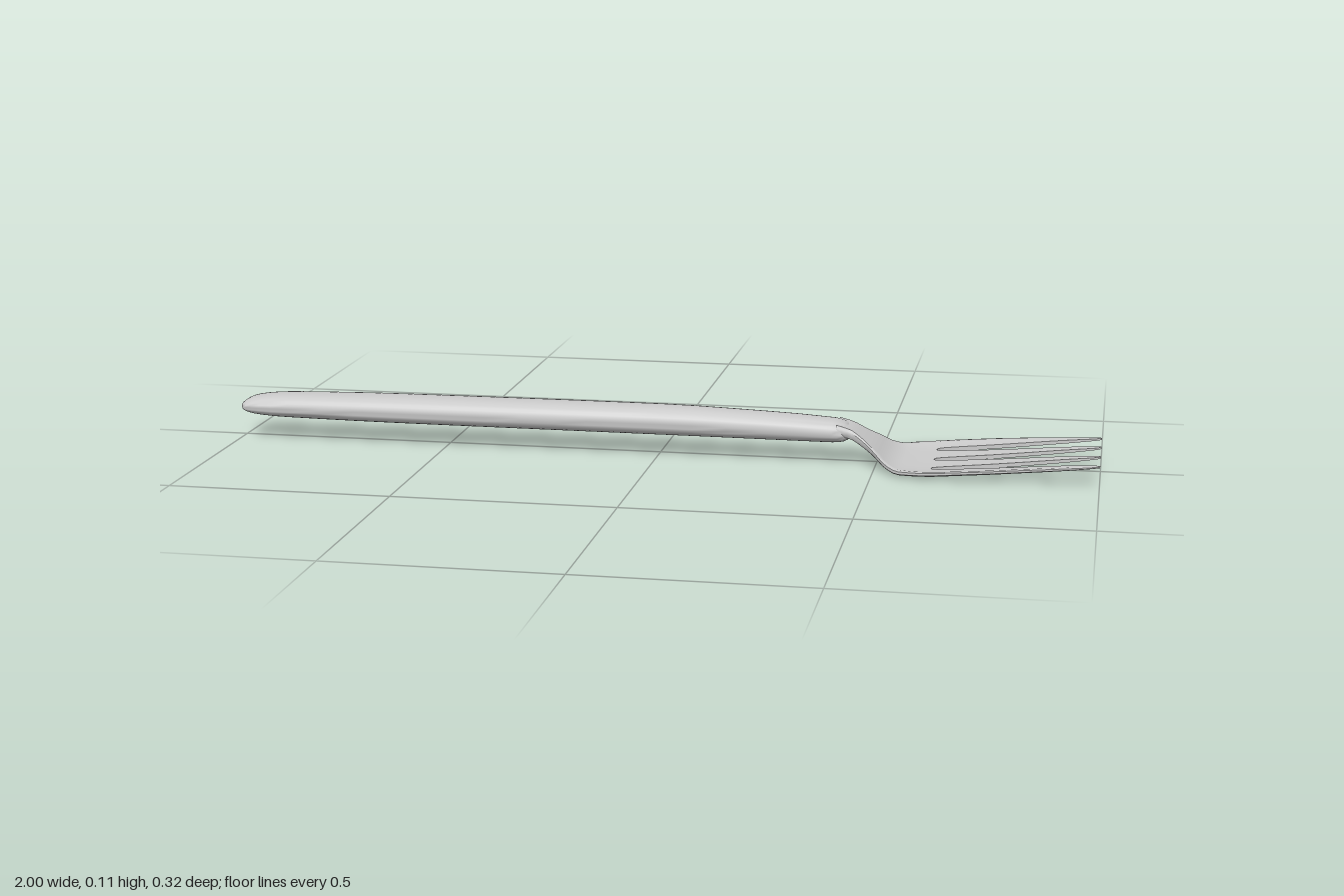
import * as THREE from 'three';
import { mergeGeometries, toCreasedNormals } from 'three/addons/utils/BufferGeometryUtils.js';

// Smooth lookup through [x, value] pairs (cubic Hermite with limited slopes)
function curve(pts) {
  const d = pts.slice(1).map((p, i) => (p[1] - pts[i][1]) / (p[0] - pts[i][0]));
  const m = pts.map((_, i) => {
    if (i === 0) return d[0];
    if (i === d.length) return d[i - 1];
    return d[i - 1] * d[i] <= 0 ? 0 : (2 * d[i - 1] * d[i]) / (d[i - 1] + d[i]);
  });
  return (x) => {
    let i = 0;
    while (i < pts.length - 2 && x > pts[i + 1][0]) i++;
    const h = pts[i + 1][0] - pts[i][0];
    const t = Math.min(1, Math.max(0, (x - pts[i][0]) / h));
    const a = 1 - t;
    return (1 + 2 * t) * a * a * pts[i][1] + t * a * a * h * m[i]
      + t * t * (3 - 2 * t) * pts[i + 1][1] - t * t * a * h * m[i + 1];
  };
}

// Skin closed rings (running y -> z around +x), with a fan cap at both ends
function loft(rings) {
  const n = rings[0].length, pos = rings.flat(2), idx = [];
  for (let r = 0; r < rings.length - 1; r++) {
    for (let k = 0; k < n; k++) {
      const a = r * n + k, b = r * n + (k + 1) % n;
      idx.push(a, b, a + n, b, b + n, a + n);
    }
  }
  for (const r of [0, rings.length - 1]) {
    const c = pos.length / 3;
    for (let j = 0; j < 3; j++) pos.push(rings[r].reduce((s, p) => s + p[j], 0) / n);
    for (let k = 0; k < n; k++) {
      const a = r * n + k, b = r * n + (k + 1) % n;
      if (r === 0) idx.push(c, b, a); else idx.push(c, a, b);
    }
  }
  const g = new THREE.BufferGeometry();
  g.setAttribute('position', new THREE.Float32BufferAttribute(pos, 3));
  g.setIndex(idx);
  return g;
}

// Handle: softly flattened oval section, blunt rounded ends
function handleGeometry() {
  const half = curve([[-1, 0.03], [-0.993, 0.043], [-0.97, 0.052], [-0.9, 0.058], [-0.6, 0.062],
    [-0.2, 0.06], [0.2, 0.053], [0.4, 0.05], [0.425, 0.046], [0.44, 0.036]]);
  const top = curve([[-1, 0.083], [-0.99, 0.09], [-0.96, 0.098], [-0.9, 0.104], [-0.6, 0.11],
    [0, 0.112], [0.2, 0.107], [0.4, 0.097], [0.425, 0.091], [0.44, 0.082]]);
  const bottom = curve([[-1, 0.068], [-0.99, 0.061], [-0.96, 0.055], [-0.9, 0.051], [-0.6, 0.048],
    [0, 0.047], [0.4, 0.046], [0.425, 0.049], [0.44, 0.057]]);
  const xs = [-1, -0.997, -0.993, -0.985, -0.97, -0.95, -0.92];
  for (let x = -0.88; x < 0.39; x += 0.08) xs.push(x);
  xs.push(0.4, 0.412, 0.425, 0.433, 0.44);
  const soft = (v) => Math.sign(v) * Math.abs(v) ** 0.8;
  return loft(xs.map((x) => {
    const mid = (top(x) + bottom(x)) / 2, h = (top(x) - bottom(x)) / 2;
    return Array.from({ length: 32 }, (_, k) => {
      const a = (k / 32) * Math.PI * 2;
      return [x, mid + h * soft(Math.cos(a)), half(x) * soft(Math.sin(a))];
    });
  }));
}

// Head: four lanes that meet in the neck and palm and part into tines
function headGeometry() {
  const half = curve([[0.41, 0.046], [0.44, 0.046], [0.47, 0.057], [0.5, 0.085], [0.53, 0.117],
    [0.56, 0.14], [0.6, 0.153], [0.66, 0.159], [0.75, 0.16], [0.85, 0.155], [0.95, 0.146], [0.99, 0.14], [1, 0.136]]);
  const slot = curve([[0.628, 0], [0.631, 0.006], [0.637, 0.01], [0.65, 0.013], [0.7, 0.017],
    [0.8, 0.023], [0.9, 0.029], [0.97, 0.034], [0.99, 0.037], [1, 0.042]]);
  const mid = curve([[0.41, 0.08], [0.44, 0.073], [0.47, 0.057], [0.5, 0.039], [0.53, 0.018],
    [0.56, 0.008], [0.6, 0.007], [0.7, 0.014], [1, 0.045]]);
  const thick = curve([[0.41, 0.024], [0.45, 0.021], [0.52, 0.014], [0.6, 0.011], [0.9, 0.008], [1, 0.004]]);
  const palm = curve([[0.48, 0], [0.6, 1], [0.8, 0.8], [1, 0]]);
  const dish = (x, z) => 0.009 * palm(x) * (Math.abs(z) / 0.16) ** 4;

  const xs = [];
  for (let x = 0.41; x < 0.625; x += 0.0125) xs.push(x);
  xs.push(0.628, 0.631, 0.634, 0.637, 0.643, 0.65);
  for (let x = 0.67; x < 0.96; x += 0.03) xs.push(x);
  xs.push(0.97, 0.98, 0.99, 0.996, 1);

  const N = 6;
  const lanes = [0, 1, 2, 3].map((i) => loft(xs.map((x) => {
    const w = half(x), s = slot(x);
    const split = w * THREE.MathUtils.lerp(0.5, 0.56, palm(x));
    const bounds = [-w, x > 0.628 ? -0.09 : -split, 0, x > 0.628 ? 0.09 : split, w];
    const lo = bounds[i] + (i > 0 ? s : 0), hi = bounds[i + 1] - (i < 3 ? s : 0);
    const edge = (side) => Array.from({ length: N + 1 }, (_, k) => {
      const t = k / N, z = THREE.MathUtils.lerp(lo, hi, t);
      // thin the metal toward the outer rim
      const rim = (i === 0 && k === 0) || (i === 3 && k === N) ? 0.5 : 1;
      return [x, mid(x) + dish(x, z) + side * rim * thick(x) / 2, z];
    });
    return [...edge(1), ...edge(-1).reverse()];
  })));
  return toCreasedNormals(mergeGeometries(lanes), 0.8);
}

export function createModel() {
  const group = new THREE.Group();
  group.name = 'fork';
  const material = new THREE.MeshStandardMaterial({ color: 0xcccccc });
  const add = (name, geometry) => {
    const mesh = new THREE.Mesh(geometry, material);
    mesh.name = name;
    group.add(mesh);
  };
  add('handle', toCreasedNormals(handleGeometry(), 1.1));
  add('neckAndTines', headGeometry());
  return group;
}
